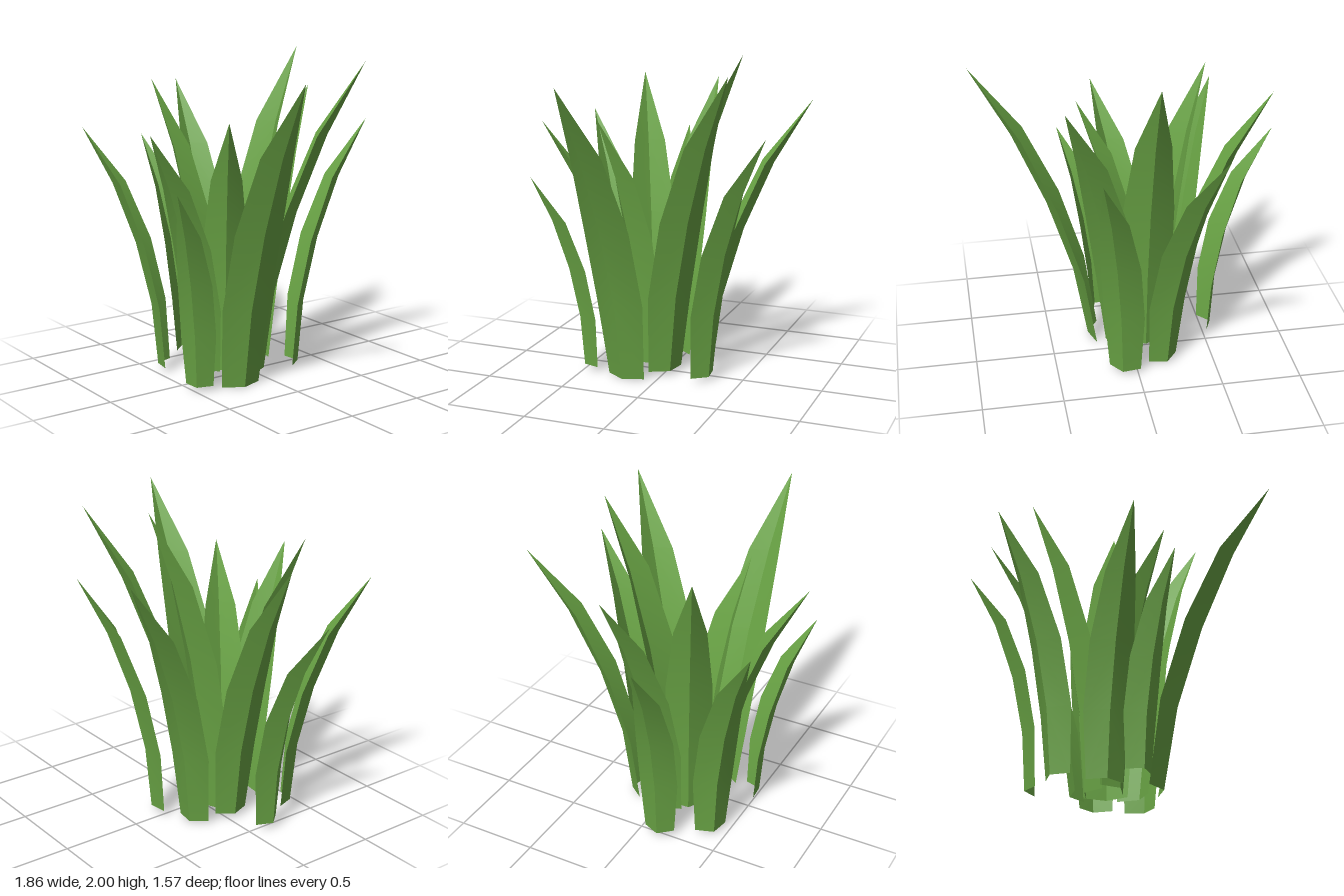
import * as THREE from 'three';

// Fractions along a blade: height and half width at each cross-section
const HEIGHT = [0, 0.26, 0.52, 0.77, 1];
const WIDTH = [0.78, 1, 0.97, 0.67, 0];
const FOLD = [0.06, 0.07, 0.075, 0.065, 0];

// Each blade: keel foot [x, y, z], tip [x, y, z], half width, bend power
const BLADES = [
  [[-0.20, 0.02, -0.235], [-0.42, 1.71, -0.79], 0.13, 1.7],
  [[-0.10, 0.02, -0.02], [-0.10, 2.00, -0.44], 0.165, 1.7],
  [[0.10, 0.03, -0.31], [0.27, 1.57, -0.70], 0.13, 1.8],
  [[0.09, 0.03, -0.05], [0.45, 1.94, -0.53], 0.155, 1.6],
  [[0.25, 0.00, 0.21], [0.93, 1.90, 0.30], 0.16, 1.5],
  [[0.00, 0.03, 0.18], [0.28, 1.62, 0.34], 0.14, 1.8],
  [[0.16, 0.03, 0.50], [0.36, 1.26, 0.75], 0.11, 1.8],
  [[-0.06, 0.04, 0.33], [0.13, 1.57, 0.78], 0.14, 1.7],
  [[-0.37, 0.03, 0.44], [-0.66, 1.53, 0.78], 0.13, 1.8],
  [[-0.207, 0.01, 0.175], [-0.53, 1.81, 0.36], 0.145, 1.7],
  [[-0.56, 0.04, 0.14], [-0.93, 1.41, 0.20], 0.12, 2],
  [[-0.31, 0.03, 0.04], [-0.86, 1.76, -0.03], 0.14, 1.6],
];

// One half of a folded blade: a strip between the keel and one edge
function halfBlade(foot, tip, halfWidth, bend, side) {
  const dx = tip[0] - foot[0], dz = tip[2] - foot[2];
  const length = Math.hypot(dx, dz);
  const ux = dx / length, uz = dz / length;
  const positions = [], index = [];
  HEIGHT.forEach((h, i) => {
    const lean = length * Math.pow(i / 4, bend);
    const y = foot[1] + (tip[1] - foot[1]) * h;
    const inner = lean - FOLD[i], w = side * halfWidth * WIDTH[i];
    positions.push(foot[0] + ux * lean, y, foot[2] + uz * lean);
    positions.push(foot[0] + ux * inner - uz * w, y, foot[2] + uz * inner + ux * w);
    if (i === 4) return;
    const a = i * 2, b = a + 1, c = a + 2, d = a + 3;
    const faces = i < 3 ? [[a, c, b], [b, c, d]] : [[a, c, b]];
    for (const f of faces) index.push(...(side > 0 ? f : [f[0], f[2], f[1]]));
  });
  const geometry = new THREE.BufferGeometry();
  geometry.setAttribute('position', new THREE.Float32BufferAttribute(positions, 3));
  geometry.setIndex(index);
  // Smooth along the length, sharp at the keel; unused tip corner is dropped
  const used = geometry.toNonIndexed();
  geometry.computeVertexNormals();
  const normals = [];
  for (const k of index) {
    normals.push(...[0, 1, 2].map((j) => geometry.attributes.normal.array[k * 3 + j]));
  }
  used.setAttribute('normal', new THREE.Float32BufferAttribute(normals, 3));
  return used;
}

export function createModel() {
  const model = new THREE.Group();
  model.name = 'grassTuft';
  const green = new THREE.MeshStandardMaterial({ color: 0x6aa545 });
  green.name = 'leafGreen';
  green.side = THREE.DoubleSide;

  BLADES.forEach(([foot, tip, width, bend], i) => {
    const blade = new THREE.Group();
    blade.name = `blade${i + 1}`;
    for (const side of [-1, 1]) {
      const half = new THREE.Mesh(halfBlade(foot, tip, width, bend, side), green);
      half.name = side < 0 ? 'bladeHalfA' : 'bladeHalfB';
      blade.add(half);
    }
    model.add(blade);
  });
  return model;
}
